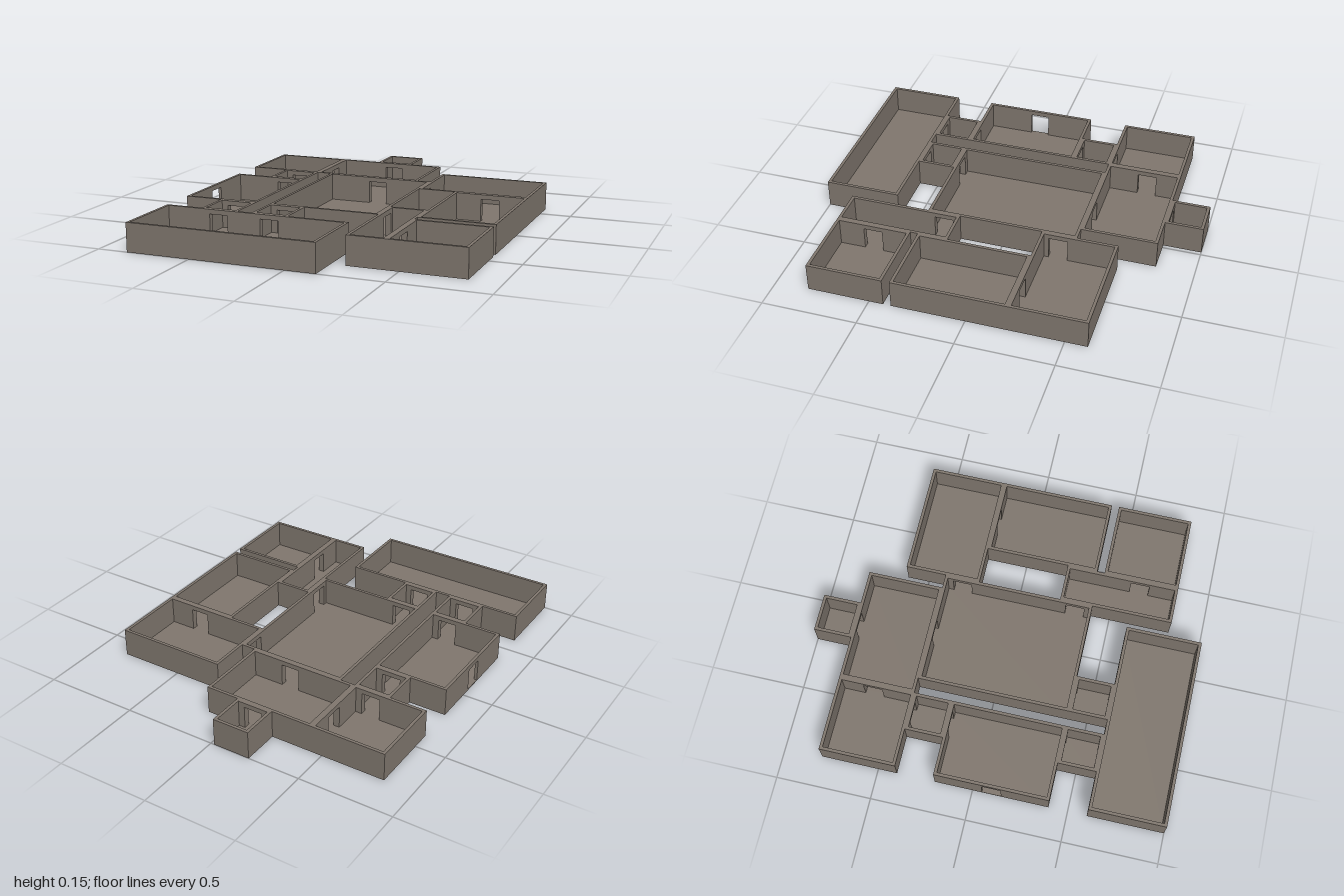
import * as THREE from 'three';

const H = 0.15;        // wall height
const T = 0.016;       // wall thickness
const FLOOR = 0.005;   // floor slab thickness
const DOOR_W = 0.1;
const DOOR_H = 0.125;

// Outer footprint of each room: name, x0, x1, z0, z1
const ROOMS = [
  ['backCloset', -0.22, -0.02, -1.0, -0.8],
  ['backRightRoom', -0.84, -0.44, -0.8, -0.4],
  ['backMiddleRoom', -0.44, 0.16, -0.8, -0.4],
  ['backLeftRoom', 0.235, 0.835, -0.615, -0.215],
  ['backPassage', -0.64, -0.44, -0.4, -0.2],
  ['rightRoom', -0.84, -0.44, -0.2, 0.4],
  ['centralHall', -0.36, 0.235, -0.4, 0.4],
  ['leftRoom', 0.435, 0.835, -0.215, 0.385],
  ['leftCorridor', 0.235, 0.435, 0.225, 0.825],
  ['frontLeftRoom', 0.435, 0.835, 0.425, 0.825],
  ['frontRightPassage', -0.64, -0.44, 0.4, 0.6],
  ['frontMiddlePassage', -0.36, -0.165, 0.4, 0.6],
  ['frontHall', -0.84, 0.16, 0.6, 1.0],
];

// Doorway centres: in walls running along x, and in walls running along z
const DOORS_X = [
  [-0.12, -0.8], [-0.54, -0.4], [-0.54, -0.2], [-0.54, 0.4], [-0.54, 0.6],
  [-0.26, 0.4], [-0.26, 0.6], [-0.07, -0.4], [0.635, -0.215],
];
const DOORS_Z = [
  [-0.44, -0.62], [0.235, -0.305], [0.235, 0.31], [0.435, 0.625], [-0.84, 0.1],
];

export function createModel() {
  const model = new THREE.Group();
  model.name = 'floorPlan';
  const stone = new THREE.MeshStandardMaterial({ color: 0x80776e });
  stone.name = 'warm grey stone';

  function block(parent, name, x0, x1, y0, y1, z0, z1) {
    const mesh = new THREE.Mesh(new THREE.BoxGeometry(x1 - x0, y1 - y0, z1 - z0), stone);
    mesh.position.set((x0 + x1) / 2, (y0 + y1) / 2, (z0 + z1) / 2);
    mesh.name = name;
    parent.add(mesh);
  }

  // A wall from a to b along one axis, filling c0..c1 across, with door gaps under lintels
  function wall(parent, name, alongX, a, b, c0, c1, edge) {
    const put = (part, s, e, y0) => alongX
      ? block(parent, part, s, e, y0, H, c0, c1)
      : block(parent, part, c0, c1, y0, H, s, e);
    const centres = (alongX ? DOORS_X : DOORS_Z.map(([x, z]) => [z, x]))
      .filter(([p, line]) => Math.abs(line - edge) < 0.01 && p > a && p < b)
      .map(([p]) => p)
      .sort((p, q) => p - q);
    let start = a;
    for (const p of centres) {
      put(name, start, p - DOOR_W / 2, FLOOR);
      put(name + 'Lintel', p - DOOR_W / 2, p + DOOR_W / 2, DOOR_H);
      start = p + DOOR_W / 2;
    }
    put(name, start, b, FLOOR);
  }

  for (const [name, x0, x1, z0, z1] of ROOMS) {
    const room = new THREE.Group();
    room.name = name;
    block(room, 'floor', x0, x1, 0, FLOOR, z0, z1);
    wall(room, 'backWall', true, x0, x1, z0, z0 + T, z0);
    wall(room, 'frontWall', true, x0, x1, z1 - T, z1, z1);
    wall(room, 'rightWall', false, z0 + T, z1 - T, x0, x0 + T, x0);
    wall(room, 'leftWall', false, z0 + T, z1 - T, x1 - T, x1, x1);
    model.add(room);
  }
  return model;
}
